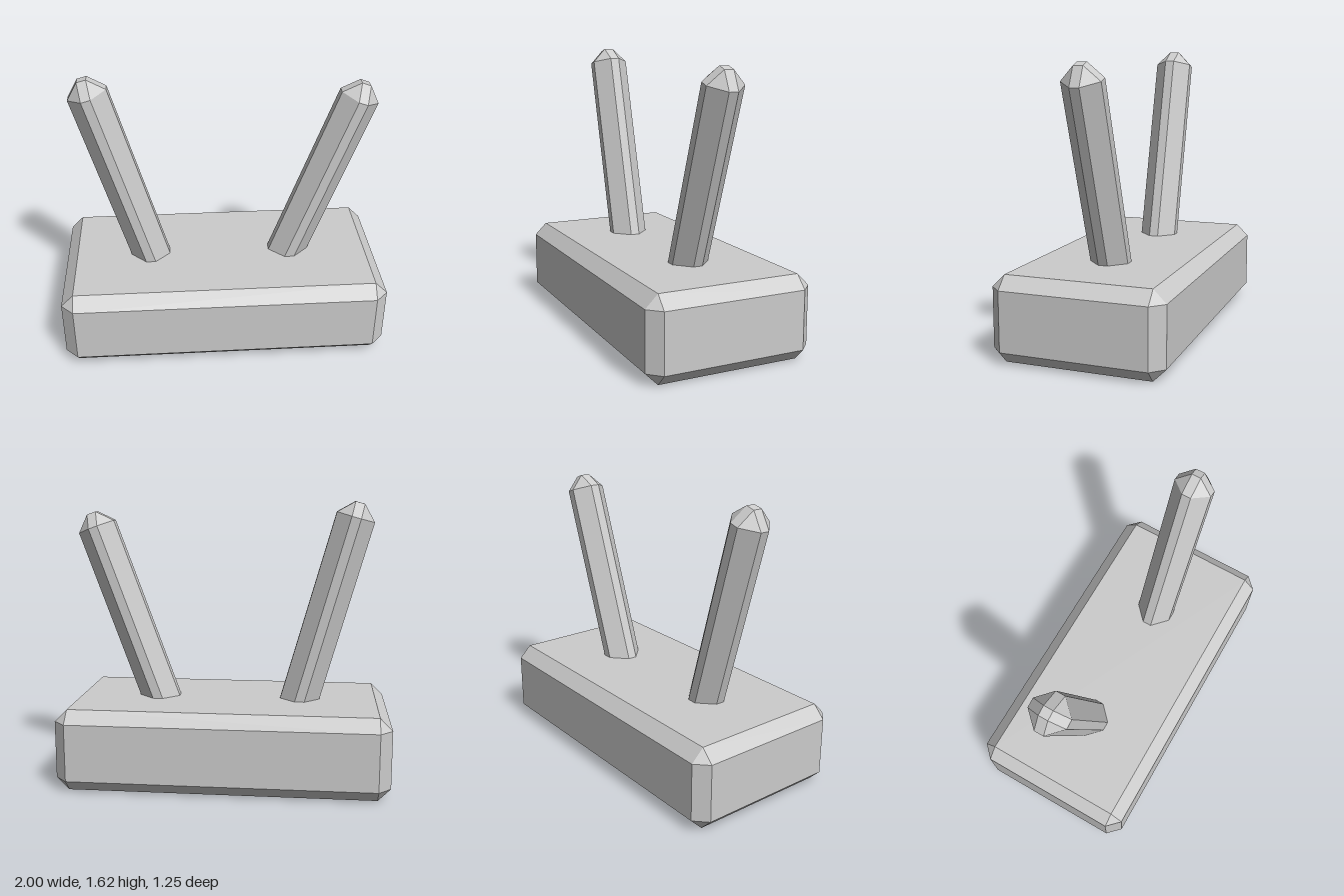
import * as THREE from 'three';
import { ConvexGeometry } from 'three/addons/geometries/ConvexGeometry.js';

const material = new THREE.MeshStandardMaterial({ color: 0xcccccc, flatShading: true });

// Box with chamfered edges and triangular corners, from half sizes and chamfer width
function chamferedBox(hx, hy, hz, c) {
  const points = [];
  for (const sx of [-1, 1]) for (const sy of [-1, 1]) for (const sz of [-1, 1]) {
    points.push(
      new THREE.Vector3(sx * hx, sy * (hy - c), sz * (hz - c)),
      new THREE.Vector3(sx * (hx - c), sy * hy, sz * (hz - c)),
      new THREE.Vector3(sx * (hx - c), sy * (hy - c), sz * hz)
    );
  }
  return new ConvexGeometry(points);
}

// Leaning post, placed by the centre of its tip; the lower end is sunk into the base
function makePost(name, tipX, tipY, lean) {
  const length = 1.4;
  const geometry = chamferedBox(0.111, length / 2, 0.111, 0.084);
  geometry.translate(0, -length / 2, 0);
  const post = new THREE.Mesh(geometry, material);
  post.name = name;
  post.position.set(tipX, tipY, 0);
  post.rotation.z = THREE.MathUtils.degToRad(lean);
  return post;
}

export function createModel() {
  const model = new THREE.Group();
  model.name = 'leverBlock';

  // Base slab
  const base = new THREE.Mesh(chamferedBox(0.943, 0.236, 0.479, 0.071), material);
  base.name = 'base';
  base.position.y = 0.236;

  // Two posts spreading outwards
  model.add(
    base,
    makePost('rightPost', -0.752, 1.617, 15.8),
    makePost('leftPost', 0.8, 1.553, -20)
  );

  // The whole piece is turned slightly
  model.rotation.y = THREE.MathUtils.degToRad(-10);
  const root = new THREE.Group();
  root.add(model);
  return root;
}
